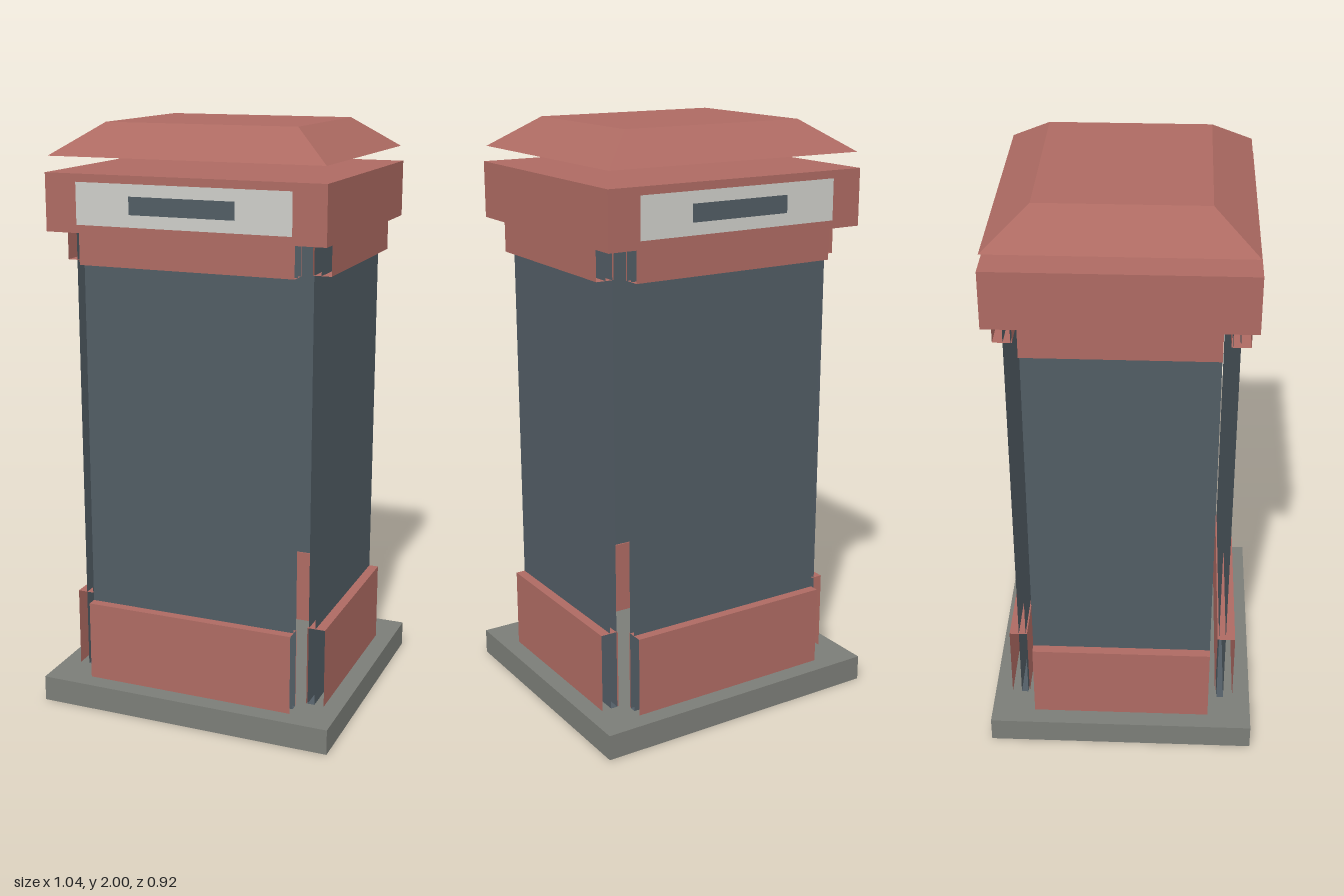
import * as THREE from 'three';

const material = (name, color) => {
  const m = new THREE.MeshStandardMaterial({ color, side: THREE.DoubleSide });
  m.name = name;
  return m;
};

export function createModel() {
  const red = material('brickRed', 0xad6a62);
  const slate = material('slate', 0x515c64);
  const stone = material('stoneGrey', 0x7b7d77);
  const pale = material('paleGrey', 0xcdcdc8);

  const model = new THREE.Group();
  model.name = 'pillar';

  const add = (name, geometry, mat, x, y, z, turn = 0) => {
    const mesh = new THREE.Mesh(geometry, mat);
    mesh.name = name;
    mesh.position.set(x, y, z);
    mesh.rotation.y = turn;
    model.add(mesh);
  };

  // Box that keeps only the listed faces (0 +x, 1 -x, 2 +y, 3 -y, 4 +z, 5 -z)
  const openBox = (w, h, d, faces) => {
    const g = new THREE.BoxGeometry(w, h, d);
    const index = Array.from(g.index.array);
    g.setIndex(faces.flatMap((f) => index.slice(f * 6, f * 6 + 6)));
    g.clearGroups();
    return g;
  };

  // Plinth, hollow underneath
  add('plinth', openBox(1.044, 0.088, 0.924, [0, 1, 2, 4, 5]), stone, 0, 0.044, 0);

  // Four walls that stop short of the corners: slate panel, red base and red frieze
  const walls = [
    { side: 'front', width: 0.74, out: 0.40, turn: 0 },
    { side: 'left', width: 0.62, out: 0.46, turn: Math.PI / 2 },
    { side: 'back', width: 0.74, out: 0.40, turn: Math.PI },
    { side: 'right', width: 0.62, out: 0.46, turn: -Math.PI / 2 },
  ];
  for (const { side, width, out, turn } of walls) {
    // Strip without ends, from y0 to y1, set back from the outer face
    const strip = (name, mat, y0, y1, setBack, depth) => {
      const d = out - setBack - depth / 2;
      add(side + name, openBox(width, y1 - y0, depth, [2, 3, 4, 5]), mat,
        Math.sin(turn) * d, (y0 + y1) / 2, Math.cos(turn) * d, turn);
    };
    strip('Panel', slate, 0.089, 1.655, 0.033, 0.024);
    strip('Base', red, 0.084, 0.365, 0, 0.062);
    strip('Frieze', red, 1.55, 1.658, 0, 0.062);
  }

  // Cap
  add('cap', new THREE.BoxGeometry(0.956, 0.19, 0.836), red, 0, 1.751, 0);

  // Sign plates with a slot, front and back
  for (const s of [1, -1]) {
    const turn = s > 0 ? 0 : Math.PI;
    add('signPlate', new THREE.PlaneGeometry(0.735, 0.137), pale, 0, 1.7515, s * 0.4195, turn);
    add('signSlot', new THREE.PlaneGeometry(0.36, 0.058), slate, 0, 1.752, s * 0.421, turn);
  }

  // Hipped roof: a box whose top is drawn inwards
  const roof = new THREE.BoxGeometry(0.94, 0.102, 0.82);
  const p = roof.attributes.position;
  for (let i = 0; i < p.count; i++) {
    if (p.getY(i) > 0) {
      p.setX(i, Math.sign(p.getX(i)) * 0.33);
      p.setZ(i, Math.sign(p.getZ(i)) * 0.27);
    }
  }
  roof.computeVertexNormals();
  add('roof', roof, red, 0, 1.949, 0);

  return model;
}
